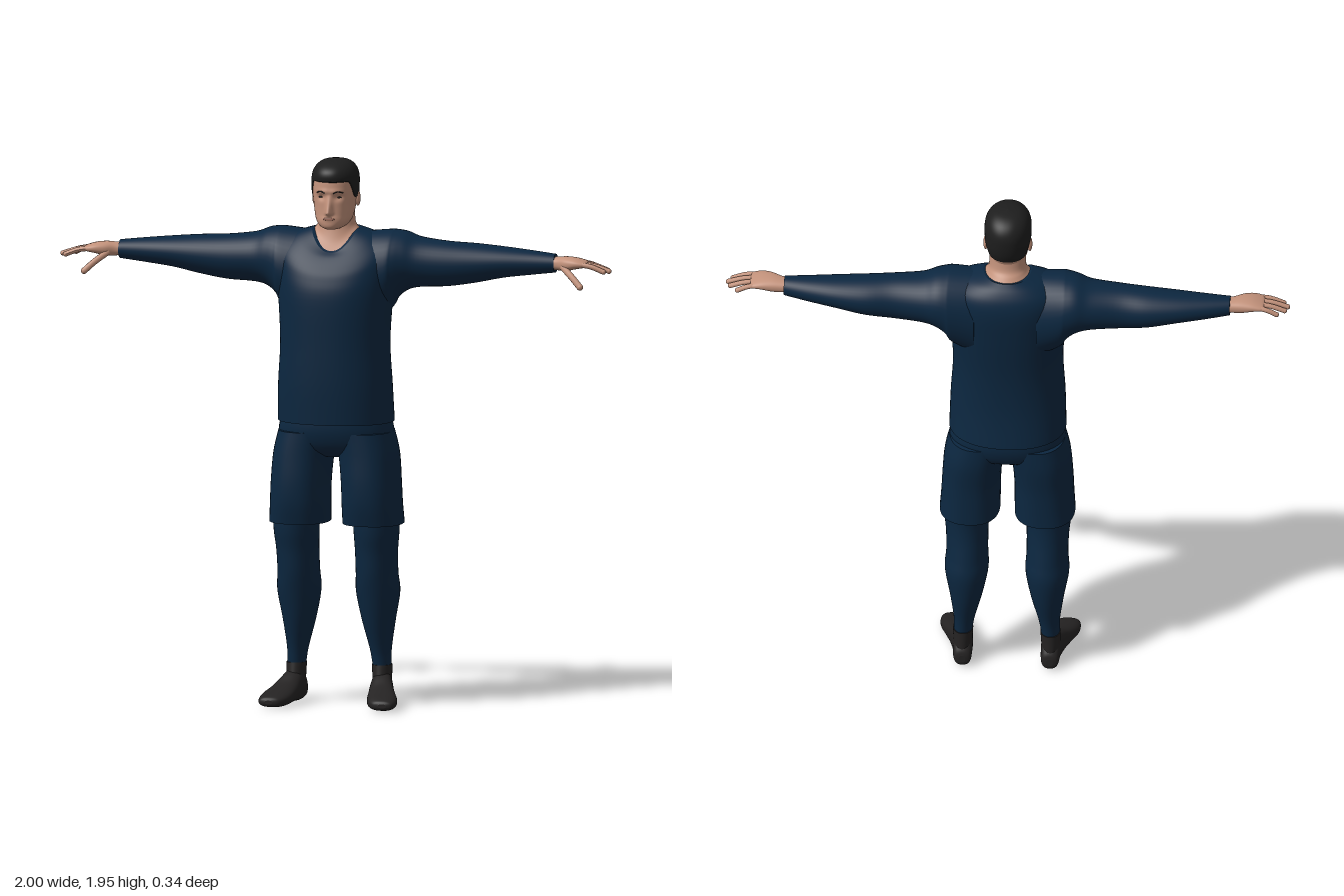
import * as THREE from 'three';

const mat = (name, color, extra = {}) => Object.assign(new THREE.MeshStandardMaterial({ color, ...extra }), { name });

// Smooth interpolation along a list of rings, t from 0 to 1
function sample(rings, t) {
  const n = rings.length - 1;
  const i = Math.min(Math.floor(t * n), n - 1);
  const f = t * n - i;
  const at = (k) => rings[Math.max(0, Math.min(n, k))];
  return at(i).map((b, k) => {
    const a = at(i - 1)[k], c = at(i + 1)[k], d = at(i + 2)[k];
    return b + 0.5 * f * (c - a + f * (2 * a - 5 * b + 4 * c - d + f * (3 * (b - c) + d - a)));
  });
}

// Ring = [y, centre x, half width, front z, back z, drop of the front]
function ringPoint([y, cx, rx, zf, zb, drop = 0], a, p) {
  const pw = (v) => Math.sign(v) * Math.abs(v) ** (2 / p);
  const c = Math.cos(a);
  return new THREE.Vector3(
    cx + rx * pw(Math.sin(a)),
    y - drop * Math.max(0, c) ** 2,
    (zf + zb) / 2 + ((zf - zb) / 2) * pw(c));
}

// Closed tube surface from a rule fn(angle, t), with flat end caps
function surface(nu, nv, fn, caps = true) {
  const pos = [], index = [];
  for (let j = 0; j <= nv; j++)
    for (let i = 0; i < nu; i++) pos.push(...fn((i / nu) * Math.PI * 2, j / nv).toArray());
  for (let j = 0; j < nv; j++)
    for (let i = 0; i < nu; i++) {
      const a = j * nu + i, b = j * nu + ((i + 1) % nu);
      index.push(a, b, b + nu, a, b + nu, a + nu);
    }
  if (caps) for (const t of [0, 1]) {
    const start = pos.length / 3, mid = new THREE.Vector3();
    for (let i = 0; i < nu; i++) {
      const v = fn((i / nu) * Math.PI * 2, t);
      mid.addScaledVector(v, 1 / nu);
      pos.push(...v.toArray());
    }
    pos.push(...mid.toArray());
    for (let i = 0; i < nu; i++) {
      const a = start + i, b = start + ((i + 1) % nu);
      index.push(start + nu, ...(t ? [a, b] : [b, a]));
    }
  }
  const g = new THREE.BufferGeometry();
  g.setAttribute('position', new THREE.Float32BufferAttribute(pos, 3));
  g.setIndex(index);
  g.computeVertexNormals();
  return g;
}

const loft = (rings, p = 2, nu = 40) =>
  surface(nu, (rings.length - 1) * 5, (a, t) => ringPoint(sample(rings, t), a, p));

// Mirror a geometry across x = 0, keeping its faces outward
function mirror(geo) {
  const g = geo.clone().scale(-1, 1, 1);
  const ix = g.index.array;
  for (let i = 0; i < ix.length; i += 3) [ix[i], ix[i + 1]] = [ix[i + 1], ix[i]];
  g.computeVertexNormals();
  return g;
}

const ball = (x, y, z, sx, sy, sz) => new THREE.SphereGeometry(1, 20, 14).scale(sx, sy, sz).translate(x, y, z);

export function createModel() {
  const model = new THREE.Group();
  const navy = mat('navy cloth', 0x0c2740);
  const skin = mat('skin', 0xc4937c);
  const black = mat('black hair', 0x1e1e1e);
  const sock = mat('dark sock', 0x252323);
  const lip = mat('lips', 0xa87463);

  const add = (name, geo, material) => {
    const m = new THREE.Mesh(geo, material);
    m.name = name;
    model.add(m);
  };
  const pair = (name, geo, material) => {
    add('left' + name, geo, material);
    add('right' + name, mirror(geo), material);
  };

  // Shirt body with a scooped collar
  add('shirtBody', loft([
    [1.015, 0, 0.207, 0.162, -0.166, 0],
    [1.15, 0, 0.203, 0.17, -0.147, 0],
    [1.3, 0, 0.195, 0.172, -0.145, 0],
    [1.47, 0, 0.204, 0.171, -0.16, 0.01],
    [1.58, 0, 0.21, 0.155, -0.167, 0.05],
    [1.64, 0, 0.2, 0.135, -0.158, 0.07],
    [1.68, 0, 0.15, 0.11, -0.135, 0.075],
    [1.702, 0, 0.085, 0.09, -0.108, 0.08],
  ], 2.2, 64), navy);

  // Sleeves: [x, top, bottom, front z, back z]
  const along = (rows) => rows.map(([x, top, low, zf, zb]) => [x, -(top + low) / 2, (top - low) / 2, zf, zb]);
  pair('Sleeve', loft(along([
    [0.11, 1.69, 1.36, 0.1, -0.15],
    [0.19, 1.697, 1.41, 0.095, -0.158],
    [0.215, 1.696, 1.45, 0.085, -0.156],
    [0.25, 1.69, 1.48, 0.07, -0.15],
    [0.3, 1.672, 1.494, 0.055, -0.136],
    [0.4, 1.66, 1.5, 0.045, -0.12],
    [0.5, 1.654, 1.515, 0.035, -0.124],
    [0.6, 1.646, 1.536, 0.025, -0.112],
    [0.7, 1.637, 1.55, 0.015, -0.09],
    [0.79, 1.628, 1.562, 0.008, -0.066],
  ])).rotateZ(-Math.PI / 2), navy);

  // Hands: palm, four fingers and a thumb
  pair('Palm', loft(along([
    [0.76, 1.615, 1.575, 0.002, -0.055],
    [0.8, 1.619, 1.572, 0.01, -0.056],
    [0.835, 1.622, 1.572, 0.028, -0.057],
    [0.87, 1.619, 1.58, 0.037, -0.057],
    [0.9, 1.611, 1.586, 0.035, -0.055],
    [0.91, 1.606, 1.592, 0.028, -0.048],
  ]), 2.4).rotateZ(-Math.PI / 2), skin);
  const digit = (name, points, r) => {
    const path = new THREE.CatmullRomCurve3(points.map((q) => new THREE.Vector3(...q)));
    pair(name, new THREE.TubeGeometry(path, 10, r, 10), skin);
    pair(name + 'Tip', ball(...points.at(-1), r, r, r), skin);
  };
  [['LittleFinger', -0.046, 0.955], ['RingFinger', -0.021, 0.982], ['MiddleFinger', 0.003, 0.991], ['IndexFinger', 0.026, 0.976]]
    .forEach(([name, z, tip]) => digit(name,
      [[0.885, 1.6, z * 0.95], [(0.885 + tip) / 2, 1.594, z], [tip, 1.577, z]], 0.0092));
  digit('Thumb', [[0.825, 1.588, 0.012], [0.868, 1.555, 0.046], [0.9, 1.525, 0.064]], 0.0115);

  // Shorts
  add('shortsHips', loft([
    [0.89, 0, 0.12, 0.06, -0.07],
    [0.92, 0, 0.195, 0.11, -0.125],
    [0.98, 0, 0.206, 0.134, -0.147],
    [1.05, 0, 0.19, 0.135, -0.142],
  ], 2.2), navy);
  pair('ShortsLeg', loft([
    [0.65, 0.133, 0.107, 0.11, -0.135],
    [0.72, 0.13, 0.105, 0.125, -0.134],
    [0.8, 0.127, 0.104, 0.13, -0.135],
    [0.9, 0.118, 0.105, 0.127, -0.143],
    [0.98, 0.1, 0.105, 0.125, -0.14],
  ], 2.3), navy);

  // Leggings
  pair('Legging', loft([
    [0.12, 0.155, 0.033, -0.014, -0.09],
    [0.15, 0.154, 0.034, -0.01, -0.092],
    [0.2, 0.15, 0.039, 0, -0.1],
    [0.3, 0.144, 0.059, 0.03, -0.124],
    [0.4, 0.143, 0.077, 0.055, -0.136],
    [0.47, 0.142, 0.074, 0.07, -0.125],
    [0.55, 0.143, 0.075, 0.08, -0.11],
    [0.62, 0.145, 0.08, 0.093, -0.105],
    [0.7, 0.145, 0.083, 0.1, -0.11],
  ]), navy);

  // Socks: ankle, and a foot lofted from heel to toe
  pair('SockAnkle', loft([
    [0.04, 0.156, 0.034, 0.01, -0.098],
    [0.09, 0.156, 0.034, 0, -0.096],
    [0.14, 0.155, 0.036, -0.008, -0.094],
  ]), sock);
  pair('SockFoot', loft([
    [-0.105, 0.155, 0.012, -0.02, -0.05],
    [-0.095, 0.155, 0.03, -0.005, -0.075],
    [-0.05, 0.157, 0.036, -0.001, -0.12],
    [0, 0.165, 0.042, -0.004, -0.105],
    [0.05, 0.177, 0.049, -0.004, -0.078],
    [0.1, 0.19, 0.055, -0.001, -0.06],
    [0.14, 0.198, 0.05, -0.001, -0.048],
    [0.165, 0.204, 0.036, -0.006, -0.038],
    [0.172, 0.206, 0.015, -0.014, -0.028],
  ], 2.4).rotateX(Math.PI / 2), sock);

  // Neck and the skin inside the collar
  add('neck', loft([
    [1.695, 0, 0.084, 0.089, -0.105, 0.08],
    [1.712, 0, 0.07, 0.062, -0.09, 0.05],
    [1.735, 0, 0.065, 0.046, -0.072, 0.01],
    [1.8, 0, 0.064, 0.045, -0.066, 0],
  ]), skin);

  // Head: rings shaped by small bumps for nose, brow, eye sockets and lips
  const headRings = [
    [1.707, 0, 0.028, 0.1, 0], [1.716, 0, 0.045, 0.113, -0.03], [1.735, 0, 0.06, 0.116, -0.05],
    [1.76, 0, 0.068, 0.112, -0.068], [1.79, 0, 0.073, 0.11, -0.08], [1.82, 0, 0.077, 0.11, -0.088],
    [1.85, 0, 0.078, 0.111, -0.092], [1.88, 0, 0.078, 0.108, -0.092], [1.905, 0, 0.073, 0.098, -0.083],
    [1.925, 0, 0.06, 0.078, -0.065], [1.938, 0, 0.038, 0.048, -0.037], [1.943, 0, 0.001, 0.006, 0.004],
  ];
  const bell = (v, mid, w) => Math.exp(-(((v - mid) / w) ** 2));
  const headPoint = (a, t) => {
    const v = ringPoint(sample(headRings, t), a, 2.15);
    if (Math.cos(a) > 0) {
      const ax = Math.abs(v.x);
      const ramp = v.y < 1.768 ? bell(v.y, 1.768, 0.009) : Math.max(0, 1 - (v.y - 1.768) / 0.065);
      v.z += 0.029 * ramp * bell(ax, 0, 0.011) + 0.004 * bell(v.y, 1.842, 0.01) * bell(ax, 0.02, 0.03)
        - 0.008 * bell(v.y, 1.822, 0.012) * bell(ax, 0.03, 0.015) + 0.004 * bell(v.y, 1.747, 0.008) * bell(ax, 0, 0.02);
    }
    return v;
  };
  add('head', surface(110, 90, headPoint), skin);
  const heightToT = (y) => {
    let lo = 0, hi = 1;
    for (let k = 0; k < 24; k++) {
      const m = (lo + hi) / 2;
      if (sample(headRings, m)[0] < y) lo = m; else hi = m;
    }
    return lo;
  };
  const face = (a, y) => headPoint(a, heightToT(y));

  // Short hair following the skull, with a forehead line, sideburns and nape
  add('hair', surface(80, 30, (a, v) => {
    const b = Math.min(a, Math.PI * 2 - a);
    const line = 1.878 - 0.062 * THREE.MathUtils.smoothstep(b, 0.85, 1.4) - 0.04 * THREE.MathUtils.smoothstep(b, 1.7, 2.2);
    const t0 = heightToT(line);
    const q = ringPoint(sample(headRings, t0 + (1 - t0) * v), a, 2.15);
    const lift = 1 + 0.06 * THREE.MathUtils.smoothstep(v, -0.15, 0.15);
    const quiff = 0.01 * Math.max(0, Math.cos(a)) ** 2 * bell(v, 0.35, 0.3);
    return q.set(q.x * lift, q.y + 0.008 * v, 0.01 + (q.z - 0.01) * lift + quiff);
  }), black);

  // Ears, eyes, brows and mouth
  pair('Ear', ball(0.078, 1.808, -0.004, 0.009, 0.028, 0.017).rotateX(0), skin);
  const eye = face(0.4, 1.822);
  pair('Eye', ball(eye.x, eye.y, eye.z, 0.01, 0.003, 0.003), black);
  const browLine = [[0.17, 1.837], [0.38, 1.843], [0.62, 1.838]].map(([a, y]) => face(a, y));
  pair('Brow', new THREE.TubeGeometry(new THREE.CatmullRomCurve3(browLine), 12, 0.0024, 6), black);
  const mouth = face(0, 1.746);
  add('mouth', ball(0, mouth.y, mouth.z - 0.002, 0.021, 0.005, 0.004), lip);

  return model;
}
